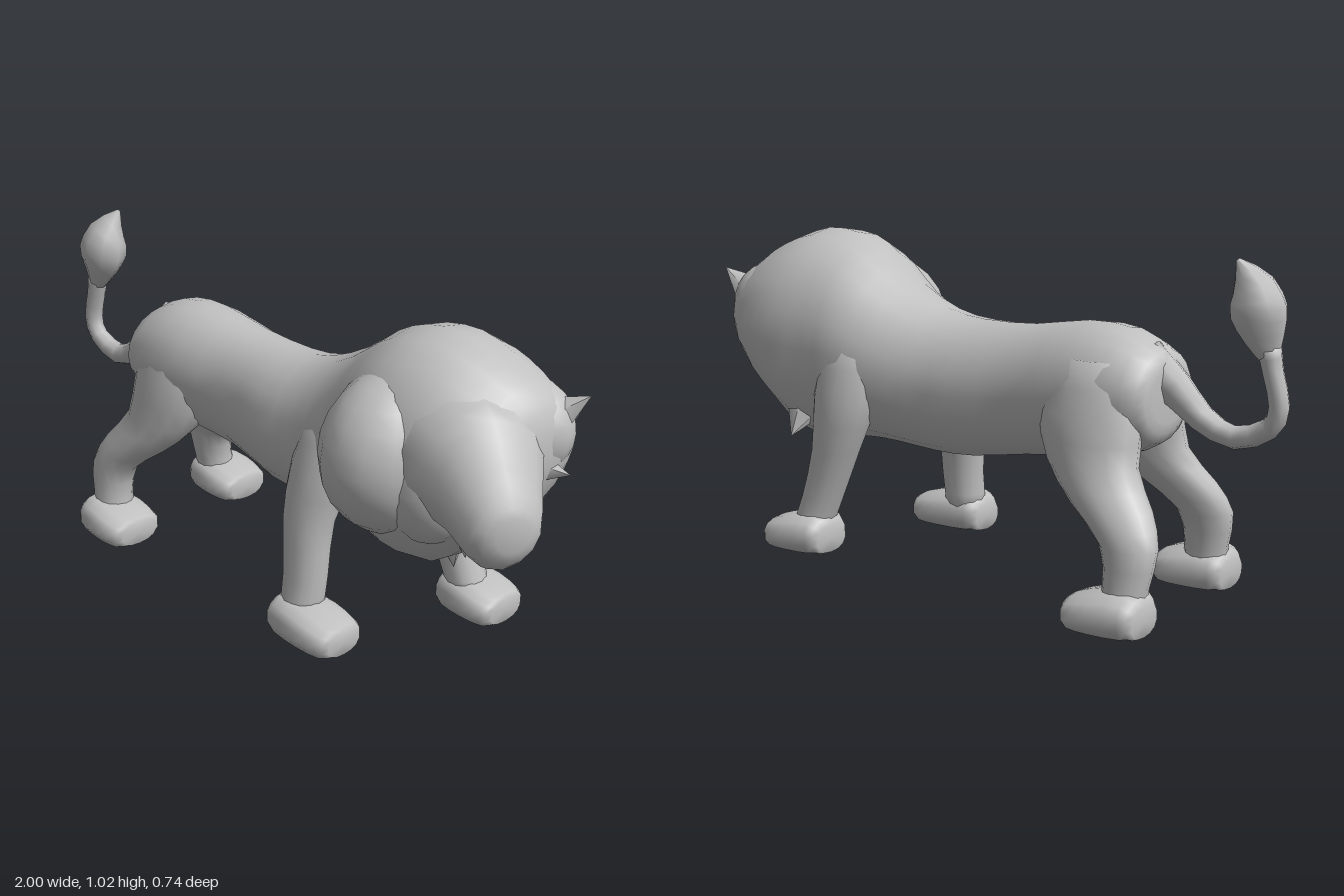
import * as THREE from 'three';

const stone = new THREE.MeshStandardMaterial({ color: 0xc0c0c0 });
stone.name = 'light grey';
const Z = new THREE.Vector3(0, 0, 1);
const X = new THREE.Vector3(1, 0, 0), DOWN = new THREE.Vector3(0, -1, 0);

const spline = points => new THREE.CatmullRomCurve3(points, false, 'catmullrom', 0.5);

// Smooth skin over sections [x, y, z, radius across, radius along z].
// axis fixes the ring direction; power below 1 squares the ring.
function loft(name, sections, { axis = null, sides = 14, steps = 2, power = 1, ground = false } = {}) {
  const path = spline(sections.map(s => new THREE.Vector3(s[0], s[1], s[2])));
  const radii = spline(sections.map(s => new THREE.Vector3(s[3], s[4], 0)));
  const count = (sections.length - 1) * steps, pos = [], index = [];
  const bend = v => Math.sign(v) * Math.abs(v) ** power;
  const put = p => pos.push(p.x, ground ? Math.max(p.y, 0.005) : p.y, p.z);
  for (let i = 0; i <= count; i++) {
    const c = path.getPoint(i / count), r = radii.getPoint(i / count);
    const t = axis || path.getTangent(i / count);
    const u = new THREE.Vector3().crossVectors(Z, t).normalize();
    const w = new THREE.Vector3().crossVectors(t, u).normalize();
    for (let j = 0; j < sides; j++) {
      const a = j / sides * Math.PI * 2;
      put(c.clone().addScaledVector(u, bend(Math.cos(a)) * r.x).addScaledVector(w, bend(Math.sin(a)) * r.y));
    }
  }
  put(path.getPoint(0));
  put(path.getPoint(1));
  const start = (count + 1) * sides, last = count * sides;
  for (let j = 0; j < sides; j++) {
    const k = (j + 1) % sides;
    for (let i = 0; i < count; i++) {
      const a = i * sides + j, b = i * sides + k;
      index.push(a, b, a + sides, b, b + sides, a + sides);
    }
    index.push(start, k, j, start + 1, last + j, last + k);
  }
  const g = new THREE.BufferGeometry();
  g.setAttribute('position', new THREE.Float32BufferAttribute(pos, 3));
  g.setIndex(index);
  g.computeVertexNormals();
  const mesh = new THREE.Mesh(g, stone);
  mesh.name = name;
  return mesh;
}

function ellipsoid(name, x, y, z, rx, ry, rz) {
  const m = new THREE.Mesh(new THREE.SphereGeometry(1, 16, 12), stone);
  m.position.set(x, y, z);
  m.scale.set(rx, ry, rz);
  m.name = name;
  return m;
}

// Pointed lock of fur or ear, from a base point towards a tip
function tuft(name, base, tip, radius) {
  const a = new THREE.Vector3(...base), b = new THREE.Vector3(...tip);
  const dir = b.clone().sub(a), m = new THREE.Mesh(new THREE.ConeGeometry(radius, dir.length(), 5), stone);
  m.position.copy(a).add(b).multiplyScalar(0.5);
  m.quaternion.setFromUnitVectors(new THREE.Vector3(0, 1, 0), dir.normalize());
  m.name = name;
  return m;
}

// Paw from heel x to toe x
function paw(name, heel, toe, z, halfWidth) {
  const l = toe - heel;
  return loft(name, [
    [heel, 0.05, z, 0.045, halfWidth * 0.6],
    [heel + l * 0.15, 0.06, z, 0.07, halfWidth * 0.85],
    [heel + l * 0.55, 0.055, z, 0.065, halfWidth],
    [heel + l * 0.88, 0.045, z, 0.052, halfWidth * 0.92],
    [toe, 0.045, z, 0.04, halfWidth * 0.65]
  ], { axis: X, power: 0.85, ground: true });
}

export function createModel() {
  const model = new THREE.Group();
  model.name = 'lion';

  // Trunk and mane: x, top, bottom, z from, z to
  const trunk = [
    [-0.645, 0.70, 0.54, -0.10, 0.10], [-0.625, 0.745, 0.48, -0.16, 0.145],
    [-0.52, 0.798, 0.43, -0.185, 0.165], [-0.38, 0.805, 0.405, -0.19, 0.165],
    [-0.20, 0.775, 0.38, -0.18, 0.14], [0.0, 0.765, 0.342, -0.20, 0.175],
    [0.14, 0.785, 0.335, -0.21, 0.18], [0.28, 0.85, 0.345, -0.245, 0.20],
    [0.40, 0.935, 0.34, -0.275, 0.25], [0.51, 0.985, 0.315, -0.28, 0.28],
    [0.63, 0.993, 0.315, -0.29, 0.28], [0.74, 0.955, 0.40, -0.275, 0.25],
    [0.84, 0.895, 0.50, -0.235, 0.18], [0.89, 0.835, 0.60, -0.19, 0.09],
    [0.91, 0.77, 0.67, -0.12, 0.02]
  ];
  model.add(loft('trunkAndMane', trunk.map(([x, t, b, z0, z1]) =>
    [x, (t + b) / 2, (z0 + z1) / 2, (t - b) / 2, (z1 - z0) / 2]), { axis: X, sides: 20 }));

  // Swellings of the mane, sunk into it
  model.add(ellipsoid('maneSideSwelling', 0.53, 0.66, 0.12, 0.20, 0.24, 0.25));
  model.add(ellipsoid('maneCheekSwelling', 0.67, 0.62, 0.15, 0.14, 0.18, 0.13));
  model.add(ellipsoid('maneFarSwelling', 0.79, 0.74, -0.11, 0.135, 0.14, 0.12));

  // Head, turned towards the left flank
  const head = new THREE.Group();
  head.name = 'head';
  head.position.set(0.66, 0.70, 0.04);
  head.rotation.y = -0.43;
  head.add(loft('skullAndMuzzle', [
    [0, 0, 0, 0.21, 0.22], [0.12, 0, 0, 0.195, 0.205],
    [0.22, -0.03, 0, 0.18, 0.155], [0.29, -0.095, 0, 0.148, 0.12],
    [0.335, -0.115, 0, 0.10, 0.095], [0.36, -0.115, 0, 0.05, 0.05]
  ], { axis: X }));
  model.add(head);

  // Ear and loose locks
  model.add(tuft('farEar', [0.86, 0.78, -0.14], [0.945, 0.855, -0.17], 0.06));
  model.add(tuft('cheekLock', [0.85, 0.66, -0.05], [0.94, 0.64, -0.11], 0.055));
  model.add(tuft('throatLock', [0.80, 0.60, -0.06], [0.83, 0.46, -0.08], 0.07));
  model.add(tuft('shoulderLock', [0.60, 0.46, -0.15], [0.58, 0.36, -0.26], 0.08));
  for (const [x, y, z] of [[0.42, 0.31, 0.05], [0.54, 0.30, -0.04], [0.66, 0.30, 0.02], [0.74, 0.38, 0.07]]) {
    model.add(tuft('chestLock', [x - 0.02, y + 0.12, z], [x, y, z], 0.06));
  }

  // Hind legs, the right one planted a little wider
  for (const [side, s, spread] of [['left', 1, 0], ['right', -1, 0.035]]) {
    const leg = [
      [-0.46, 0.72, 0.06, 0.12, 0.07], [-0.46, 0.57, 0.085, 0.165, 0.10],
      [-0.49, 0.43, 0.12, 0.142, 0.09], [-0.58, 0.33, 0.16, 0.125, 0.08],
      [-0.658, 0.24, 0.192, 0.087, 0.067], [-0.66, 0.13, 0.205, 0.066, 0.063],
      [-0.65, 0.05, 0.215, 0.065, 0.07]
    ].map(([x, y, z, a, b]) => [x, y, s * (z + spread), a, b]);
    model.add(loft(side + 'HindLeg', leg, { axis: DOWN }));
    model.add(paw(side + 'HindPaw', -0.735, -0.505, s * (0.225 + spread), 0.11));
  }

  // Front legs, the right one stepping forward
  model.add(loft('leftFrontLeg', [
    [0.29, 0.70, 0.11, 0.09, 0.06], [0.27, 0.53, 0.15, 0.105, 0.085],
    [0.25, 0.37, 0.188, 0.082, 0.073], [0.255, 0.20, 0.205, 0.07, 0.066],
    [0.25, 0.06, 0.22, 0.065, 0.07]
  ], { axis: DOWN }));
  model.add(paw('leftFrontPaw', 0.175, 0.44, 0.232, 0.10));
  model.add(loft('rightFrontLeg', [
    [0.38, 0.70, -0.17, 0.11, 0.08], [0.385, 0.51, -0.213, 0.11, 0.086],
    [0.42, 0.34, -0.225, 0.08, 0.073], [0.475, 0.18, -0.23, 0.068, 0.066],
    [0.52, 0.06, -0.24, 0.065, 0.07]
  ], { axis: DOWN }));
  model.add(paw('rightFrontPaw', 0.425, 0.65, -0.25, 0.108));

  // Tail and its tuft
  model.add(loft('tail', [
    [-0.56, 0.70, 0, 0.08, 0.07], [-0.66, 0.64, 0, 0.055, 0.05],
    [-0.74, 0.565, 0.01, 0.04, 0.04], [-0.84, 0.525, 0.015, 0.034, 0.035],
    [-0.94, 0.565, 0.02, 0.03, 0.03], [-0.967, 0.63, 0.02, 0.03, 0.03],
    [-0.945, 0.72, 0.02, 0.03, 0.03], [-0.93, 0.79, 0.02, 0.035, 0.035]
  ], { sides: 8 }));
  model.add(loft('tailTuft', [
    [-0.935, 0.75, 0.02, 0.025, 0.025], [-0.915, 0.81, 0.02, 0.06, 0.05],
    [-0.895, 0.88, 0.02, 0.083, 0.075], [-0.88, 0.95, 0.01, 0.062, 0.055],
    [-0.845, 1.02, -0.015, 0.006, 0.006]
  ], { sides: 8 }));

  return model;
}
